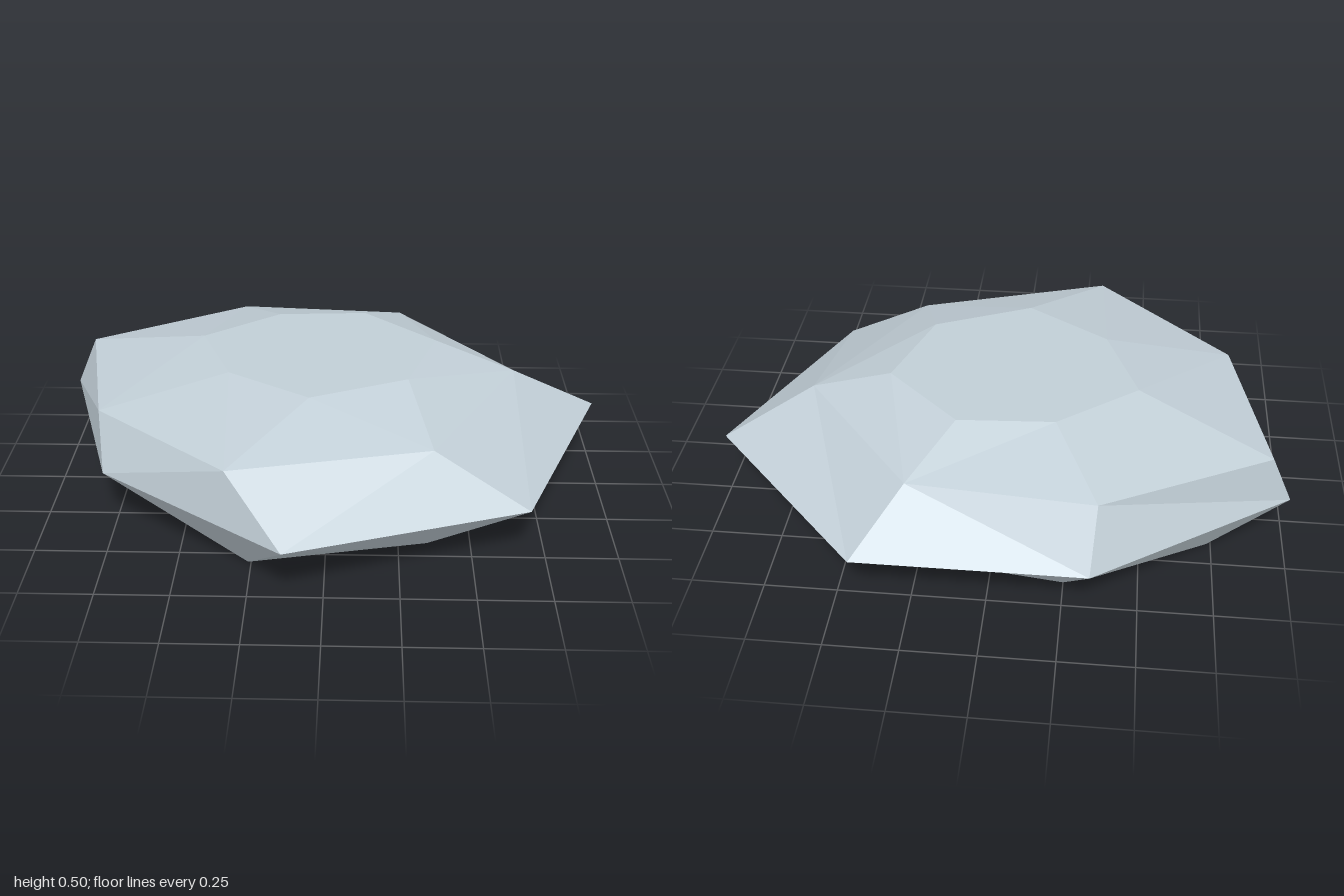
import * as THREE from 'three';

export function createModel() {
  const stone = new THREE.MeshStandardMaterial({ color: 0xc1ced6 });
  stone.name = 'pale blue grey stone';

  // Seven-sided cross-sections from the ground to the crown: [x, y, z]
  const rings = [
    // base
    [[-0.735, 0, -0.4], [-0.25, 0, -0.64], [0.29, 0, -0.57], [0.645, 0, -0.1],
      [0.35, 0, 0.42], [-0.26, 0, 0.55], [-0.65, 0, 0.13]],
    // widest girth
    [[-1, 0.215, -0.39], [-0.34, 0.205, -0.83], [0.435, 0.21, -0.835], [1, 0.22, -0.23],
      [0.685, 0.205, 0.535], [-0.13, 0.22, 0.83], [-0.775, 0.22, 0.345]],
    // shoulder
    [[-0.925, 0.39, -0.4], [-0.355, 0.405, -0.71], [0.27, 0.405, -0.66], [0.68, 0.4, -0.14],
      [0.36, 0.39, 0.46], [-0.32, 0.41, 0.645], [-0.8, 0.395, 0.21]],
    // crown
    [[-0.47, 0.5, -0.2], [-0.2, 0.5, -0.41], [0.13, 0.5, -0.43], [0.39, 0.5, -0.18],
      [0.28, 0.5, 0.15], [-0.06, 0.5, 0.3], [-0.35, 0.5, 0.11]],
  ];
  const sides = 7;
  const positions = [];
  const tri = (a, b, c) => positions.push(...a, ...b, ...c);
  const span = (a, b) => Math.hypot(a[0] - b[0], a[1] - b[1], a[2] - b[2]);

  // Faceted walls between neighbouring rings, each cut along its shorter diagonal
  for (let r = 0; r < rings.length - 1; r++) {
    const low = rings[r], up = rings[r + 1];
    for (let i = 0; i < sides; i++) {
      const j = (i + 1) % sides;
      if (span(low[i], up[j]) < span(low[j], up[i]) + 0.01) {
        tri(low[j], low[i], up[j]);
        tri(low[i], up[i], up[j]);
      } else {
        tri(low[j], low[i], up[i]);
        tri(low[j], up[i], up[j]);
      }
    }
  }

  // Flat base and crown
  const base = rings[0], crown = rings[3];
  for (let i = 1; i < sides - 1; i++) {
    tri(base[0], base[i], base[i + 1]);
    tri(crown[0], crown[i + 1], crown[i]);
  }

  // Unshared corners give each facet its own flat normal
  const geometry = new THREE.BufferGeometry();
  geometry.setAttribute('position', new THREE.Float32BufferAttribute(positions, 3));
  geometry.computeVertexNormals();

  const rock = new THREE.Mesh(geometry, stone);
  rock.name = 'rock';

  const group = new THREE.Group();
  group.name = 'flatRock';
  group.add(rock);
  return group;
}
